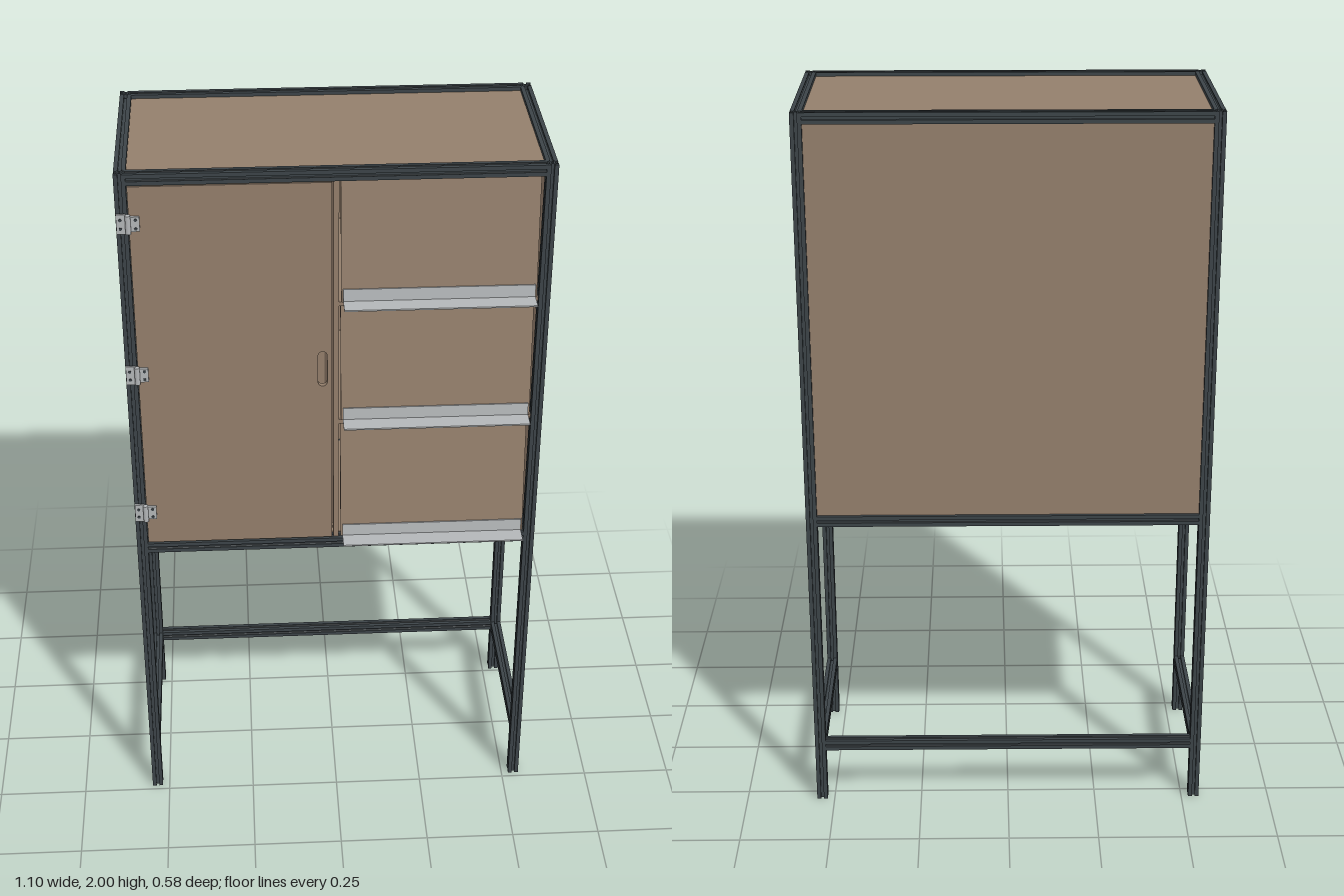
import * as THREE from 'three';

const mat = (name, color, side = THREE.FrontSide) => {
  const m = new THREE.MeshStandardMaterial({ color, side });
  m.name = name;
  return m;
};

export function createModel() {
  const root = new THREE.Group();
  root.name = 'cabinet';
  const frameMat = mat('dark slate aluminium', 0x3c4448);
  const wood = mat('brown board', 0x947f6c);
  const metal = mat('light grey metal', 0xb4b7b9);

  // Frame layout: post centres and outer profile size
  const X = 0.535, ZF = 0.22, ZB = -0.275, W = 0.03;
  const zMid = (ZF + ZB) / 2, railX = 2 * X - W, railZ = ZF - ZB - W;

  const box = (name, m, x0, x1, y0, y1, z0, z1, parent = root) => {
    const mesh = new THREE.Mesh(new THREE.BoxGeometry(x1 - x0, y1 - y0, z1 - z0), m);
    mesh.position.set((x0 + x1) / 2, (y0 + y1) / 2, (z0 + z1) / 2);
    mesh.name = name;
    parent.add(mesh);
    return mesh;
  };

  // Slotted extrusion cross-section: one side turned four times
  const side = [[-0.015, -0.015], [-0.004, -0.015], [-0.004, -0.0125], [-0.008, -0.0125],
    [-0.004, -0.007], [0.004, -0.007], [0.008, -0.0125], [0.004, -0.0125], [0.004, -0.015]];
  const pts = [];
  for (let k = 0; k < 4; k++) {
    for (const [x, y] of side) {
      pts.push(new THREE.Vector2(x, y).rotateAround(new THREE.Vector2(), k * Math.PI / 2));
    }
  }
  const profile = new THREE.Shape(pts);
  profile.holes.push(new THREE.Path().absarc(0, 0, 0.003, 0, Math.PI * 2, true));

  const beam = (name, axis, length, x, y, z) => {
    const g = new THREE.ExtrudeGeometry(profile, { depth: length, bevelEnabled: false, curveSegments: 6 });
    g.translate(0, 0, -length / 2);
    if (axis === 'x') g.rotateY(Math.PI / 2);
    if (axis === 'y') g.rotateX(-Math.PI / 2);
    const mesh = new THREE.Mesh(g, frameMat);
    mesh.position.set(x, y, z);
    mesh.name = name;
    root.add(mesh);
  };

  // Posts
  for (const x of [-X, X]) for (const z of [ZF, ZB]) beam('post', 'y', 2, x, 1, z);

  // Rails at the foot (open at the front), cabinet floor and top
  for (const y of [0.175, 0.875, 1.985]) {
    beam('backRail', 'x', railX, 0, y, ZB);
    if (y > 0.5) beam('frontRail', 'x', railX, 0, y, ZF);
    for (const x of [-X, X]) beam('sideRail', 'z', railZ, x, y, zMid);
  }
  // Shelf rails on the left side and the beam under the floor
  for (const y of [1.237, 1.593]) beam('shelfRail', 'z', railZ, X, y, zMid);
  beam('floorBeam', 'z', railZ, 0, 0.875, zMid);

  // Boards held in the frame slots
  const inX = X - W / 2, inF = ZF - W / 2, inB = ZB + W / 2;
  box('topPanel', wood, -inX, inX, 1.98, 1.99, inB, inF);
  box('floorPanel', wood, -inX, inX, 0.882, 0.892, inB, inF);
  box('backPanel', wood, -inX, inX, 0.89, 1.97, ZB - 0.005, ZB + 0.005);
  for (const [y0, y1] of [[0.89, 1.222], [1.252, 1.578], [1.608, 1.97]]) {
    box('sidePanel', wood, X - 0.005, X + 0.005, y0, y1, inB, inF);
  }

  // Perforated board on the right side
  const peg = new THREE.Shape();
  const w = railZ / 2, h = 0.54;
  peg.moveTo(-w, -h).lineTo(w, -h).lineTo(w, h).lineTo(-w, h).closePath();
  for (let c = 0; c < 10; c++) {
    for (let r = 0; r < 24; r++) {
      const hole = new THREE.Path();
      hole.absarc((c - 4.5) * 0.045, (r - 11.5) * 0.044, 0.006, 0, Math.PI * 2, true);
      peg.holes.push(hole);
    }
  }
  const pegGeo = new THREE.ExtrudeGeometry(peg, { depth: 0.01, bevelEnabled: false, curveSegments: 4 });
  pegGeo.translate(0, 0, -0.005).rotateY(-Math.PI / 2);
  const pegboard = new THREE.Mesh(pegGeo, wood);
  pegboard.position.set(-X, 1.43, zMid);
  pegboard.name = 'pegboard';
  root.add(pegboard);

  // Divider and shelves
  box('divider', wood, -0.008, 0.006, 0.89, 1.97, inB, 0.225);
  for (const y of [1.256, 1.612]) box('shelf', wood, 0.006, inX, y, y + 0.012, inB, 0.222);

  // Door with an oblong grip hole
  const door = new THREE.Shape();
  door.moveTo(-0.518, 0.895).lineTo(-0.012, 0.895).lineTo(-0.012, 1.967).lineTo(-0.518, 1.967).closePath();
  const grip = new THREE.Path();
  grip.absarc(-0.037, 1.473, 0.012, 0, Math.PI, false);
  grip.absarc(-0.037, 1.393, 0.012, Math.PI, Math.PI * 2, false);
  grip.closePath();
  door.holes.push(grip);
  const doorMesh = new THREE.Mesh(
    new THREE.ExtrudeGeometry(door, { depth: 0.014, bevelEnabled: false, curveSegments: 8 }), wood);
  doorMesh.position.z = 0.22;
  doorMesh.name = 'door';
  root.add(doorMesh);

  // Hinges: two leaves, a knuckle and screw heads
  for (const y of [0.997, 1.432, 1.868]) {
    const hinge = new THREE.Group();
    hinge.name = 'hinge';
    hinge.position.set(-0.52, y, 0.235);
    box('hingeLeaf', metal, -0.029, -0.004, -0.027, 0.027, 0, 0.006, hinge);
    box('hingeLeaf', metal, 0.004, 0.029, -0.02, 0.02, -0.001, 0.006, hinge);
    const pin = new THREE.Mesh(new THREE.CylinderGeometry(0.007, 0.007, 0.05, 12), metal);
    pin.position.z = 0.007;
    pin.name = 'hingePin';
    hinge.add(pin);
    for (const sx of [-0.019, 0.019]) for (const sy of [-0.012, 0.012]) {
      const screw = new THREE.Mesh(new THREE.CylinderGeometry(0.004, 0.004, 0.004, 8), frameMat);
      screw.rotation.x = Math.PI / 2;
      screw.position.set(sx, sy, 0.006);
      screw.name = 'hingeScrew';
      hinge.add(screw);
    }
    root.add(hinge);
  }

  // Flaps hung from their top edge, ajar at the bottom, with angle-strip pulls
  for (const [y0, y1] of [[0.9, 1.252], [1.276, 1.608], [1.632, 1.967]]) {
    const tilt = 0.11, len = (y1 - y0) / Math.cos(tilt);
    const flap = new THREE.Group();
    flap.name = 'flap';
    flap.position.set(0, y1, 0.238 - len * Math.sin(tilt));
    flap.rotation.x = -tilt;
    box('flapPanel', wood, 0.011, 0.514, -len, 0, -0.012, 0, flap);
    box('pullPlate', metal, 0.016, 0.51, -len, -len + 0.036, 0, 0.004, flap);
    root.add(flap);
    box('pullLip', metal, 0.016, 0.51, y0, y0 + 0.004, 0.238, 0.29);
  }

  return root;
}
